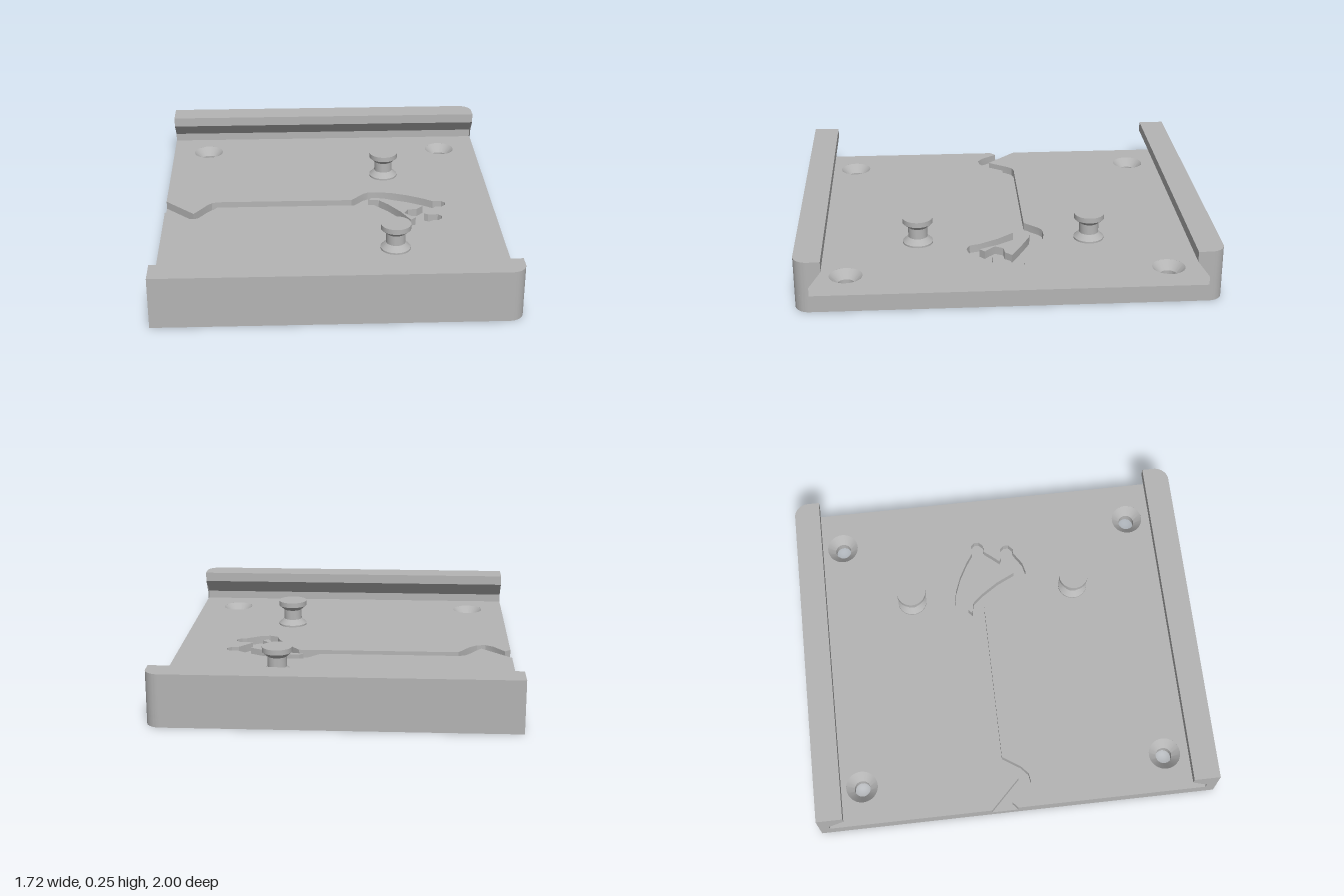
import * as THREE from 'three';
import { toCreasedNormals } from 'three/addons/utils/BufferGeometryUtils.js';

const X = 0.86, Z = 1, R = 0.07;         // half width, half depth, corner radius
const FLOOR = 0.042, TOP = 0.083;        // groove floor and plate top
const HOLES = [[-0.665, -0.775], [-0.665, 0.77], [0.66, -0.775], [0.66, 0.77]];

// Groove outline as x, z pairs, starting and ending on the open left edge
const GROOVE = [
  -0.86, -0.135, -0.71, 0.015, -0.685, -0.02, -0.645, -0.08, -0.62, -0.108, -0.59, -0.118,
  0.12, -0.118, 0.185, -0.19, 0.21, -0.205, 0.27, -0.207, 0.34, -0.195, 0.42, -0.165, 0.5, -0.122,
  0.55, -0.088, 0.595, -0.087, 0.612, -0.07, 0.612, -0.045, 0.59, -0.023, 0.555, -0.022,
  0.525, 0.015, 0.49, 0.055, 0.51, 0.066, 0.56, 0.066, 0.578, 0.085, 0.578, 0.112, 0.555, 0.132,
  0.53, 0.133, 0.465, 0.175, 0.41, 0.188, 0.37, 0.17, 0.355, 0.12, 0.3, 0.025, 0.235, -0.055,
  -0.59, -0.055, -0.65, 0.035, -0.69, 0.07, -0.735, 0.077, -0.775, 0.05, -0.83, -0.028, -0.86, -0.002,
];
// Raised island inside the forked end of the groove
const ISLAND = [
  0.208, -0.12, 0.23, -0.14, 0.29, -0.132, 0.38, -0.09, 0.49, -0.033, 0.455, 0.002, 0.41, 0.004,
  0.388, 0.045, 0.415, 0.075, 0.442, 0.098, 0.415, 0.124, 0.37, 0.03, 0.31, -0.06, 0.265, -0.11,
];

const pairs = (a) => Array.from({ length: a.length / 2 }, (_, i) => [a[2 * i], a[2 * i + 1]]);

// Extrude a shape drawn in (x, -z) from height y0 to y1
function slab(shape, y0, y1) {
  const g = new THREE.ExtrudeGeometry(shape, { depth: y1 - y0, bevelEnabled: false, curveSegments: 16 });
  g.rotateX(-Math.PI / 2).translate(0, y0, 0);
  return toCreasedNormals(g, 0.5);
}

// Plate outline with two rounded corners, round holes and optional groove
function plateShape(holeRadius, grooved) {
  const s = new THREE.Shape();
  s.moveTo(-X, -Z);
  s.lineTo(X - R, -Z);
  s.absarc(X - R, -Z + R, R, -Math.PI / 2, 0, false);
  s.lineTo(X, Z - R);
  s.absarc(X - R, Z - R, R, 0, Math.PI / 2, false);
  s.lineTo(-X, Z);
  if (grooved) pairs(GROOVE).forEach(([x, z]) => s.lineTo(x, -z));
  s.closePath();
  for (const [x, z] of HOLES) {
    const h = new THREE.Path();
    h.absarc(x, -z, holeRadius, 0, Math.PI * 2, true);
    s.holes.push(h);
  }
  return s;
}

// Overhanging rail: its section runs along x and follows the rounded corner
function railGeometry(side) {
  const inner = [[0.87, 0.255], [0.87, 0.205], [0.95, 0.125], [0.95, TOP]];
  const xs = [-X];
  for (let i = 0; i <= 16; i++) xs.push(X - R + R * Math.sin((i / 16) * Math.PI / 2));
  const pos = [], idx = [], n = 6;
  for (const x of xs) {
    const d = Math.max(0, x - (X - R));
    const outer = Z - R + Math.sqrt(Math.max(0, R * R - d * d));
    const section = [[outer, TOP], [outer, 0.255], ...inner];
    for (const [z, y] of section) pos.push(x, y, side * Math.min(z, outer));
  }
  const tri = (a, b, c) => (side > 0 ? idx.push(a, b, c) : idx.push(a, c, b));
  for (let i = 0; i < xs.length - 1; i++) {
    for (let j = 0; j < n; j++) {
      const a = i * n + j, b = i * n + (j + 1) % n;
      tri(a, a + n, b);
      tri(a + n, b + n, b);
    }
  }
  const e = (xs.length - 1) * n;
  for (const [a, b, c] of [[0, 1, 4], [0, 4, 5], [1, 2, 3], [1, 3, 4]]) {
    tri(a, b, c);
    tri(e + a, e + c, e + b);
  }
  const g = new THREE.BufferGeometry();
  g.setAttribute('position', new THREE.Float32BufferAttribute(pos, 3));
  g.setIndex(idx);
  return toCreasedNormals(g, 0.5);
}

function lathe(points) {
  const g = new THREE.LatheGeometry(points.map(([r, y]) => new THREE.Vector2(r, y)), 40);
  return toCreasedNormals(g, 0.4);
}

export function createModel() {
  const model = new THREE.Group();
  model.name = 'mountingPlate';
  const grey = new THREE.MeshStandardMaterial({ color: 0xb4b4b4 });
  grey.name = 'grey';
  const add = (name, geometry, x = 0, z = 0) => {
    const m = new THREE.Mesh(geometry, grey);
    m.name = name;
    m.position.set(x, 0, z);
    model.add(m);
  };

  // Base plate in two layers, the upper one cut by the groove
  add('lowerPlate', slab(plateShape(0.04, false), 0, FLOOR));
  add('upperPlate', slab(plateShape(0.08, true), FLOOR, TOP));
  const island = new THREE.Shape(pairs(ISLAND).map(([x, z]) => new THREE.Vector2(x, -z)));
  add('grooveIsland', slab(island, FLOOR, TOP));

  // Countersinks of the screw holes
  const sink = lathe([[0.08, TOP], [0.04, FLOOR]]);
  HOLES.forEach(([x, z]) => add('countersink', sink, x, z));

  // Side rails
  add('frontRail', railGeometry(1));
  add('backRail', railGeometry(-1));

  // Spool-shaped posts
  const post = lathe([
    [0.075, TOP], [0.075, 0.092], [0.048, 0.118], [0.048, 0.17],
    [0.075, 0.193], [0.075, 0.219], [0, 0.219],
  ]);
  for (const z of [-0.43, 0.425]) add('post', post, 0.31, z);

  return model;
}
